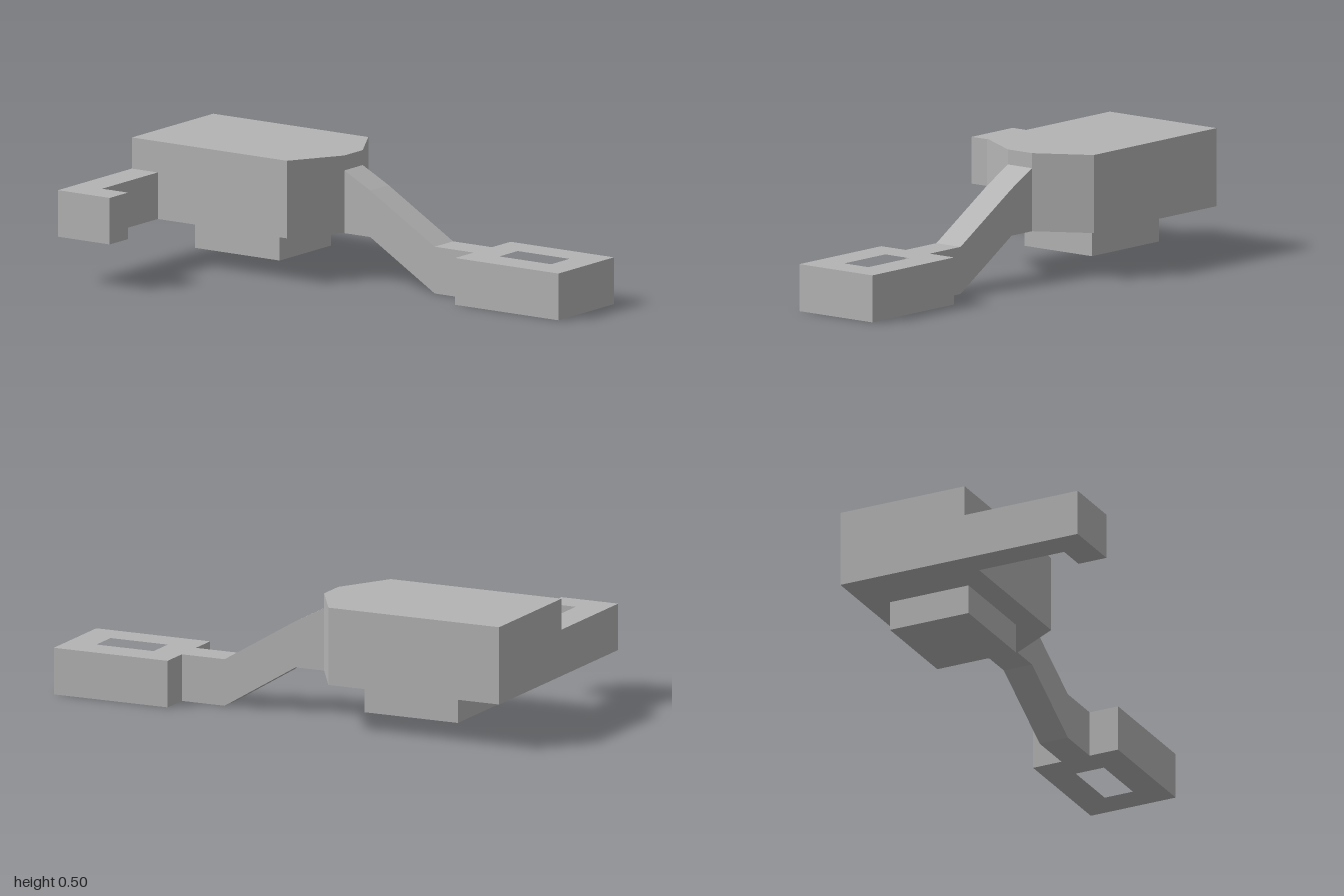
import * as THREE from 'three';

const grey = new THREE.MeshStandardMaterial({ color: 0xb4b4b4 });
grey.name = 'grey';

const CX = 0.249; // centre line of body, arm and foot

// Points given as [x, z]; negated z becomes the shape's y
const planPoints = (pts) => pts.map(([x, z]) => new THREE.Vector2(x, -z));

function part(name, geometry) {
  const mesh = new THREE.Mesh(geometry, grey);
  mesh.name = name;
  return mesh;
}

// Prism standing on a plan outline between two heights
function planPrism(name, outline, y0, y1, hole) {
  const shape = new THREE.Shape(planPoints(outline));
  if (hole) shape.holes.push(new THREE.Path(planPoints(hole)));
  const geo = new THREE.ExtrudeGeometry(shape, { depth: y1 - y0, bevelEnabled: false });
  geo.rotateX(-Math.PI / 2).translate(0, y0, 0);
  return part(name, geo);
}

const rect = (halfWidth, z0, z1) => [
  [CX - halfWidth, z0], [CX + halfWidth, z0], [CX + halfWidth, z1], [CX - halfWidth, z1],
];

export function createModel() {
  const model = new THREE.Group();
  model.name = 'model';

  // Main block with a tapered front
  model.add(planPrism('body', [
    [CX - 0.274, -1], [CX + 0.274, -1], [CX + 0.274, -0.25],
    [CX + 0.062, -0.125], [CX - 0.062, -0.125], [CX - 0.274, -0.25],
  ], 0.188, 0.5));

  // Side hook, bent forward at its tip
  model.add(planPrism('sideHook', [
    [-0.523, -1], [-0.025, -1], [-0.025, -0.875],
    [-0.4, -0.875], [-0.4, -0.75], [-0.523, -0.75],
  ], 0.188, 0.375));

  // Block below the body
  model.add(planPrism('underBlock', rect(0.173, -0.768, -0.358), 0.068, 0.188));

  // Sloping arm from body down to foot, profile as [z, y]
  const profile = [
    [0.5, 0], [0.5, 0.188], [0.312, 0.188], [0, 0.375],
    [-0.125, 0.44], [-0.125, 0.188], [0, 0.188], [0.312, 0],
  ].map(([z, y]) => new THREE.Vector2(z, y));
  const arm = new THREE.ExtrudeGeometry(new THREE.Shape(profile), { depth: 0.124, bevelEnabled: false });
  arm.rotateY(-Math.PI / 2).translate(CX + 0.062, 0, 0);
  model.add(part('arm', arm));

  // Foot with a rectangular opening
  model.add(planPrism('foot', rect(0.187, 0.5, 1), 0, 0.188, rect(0.062, 0.624, 0.875)));

  return model;
}
